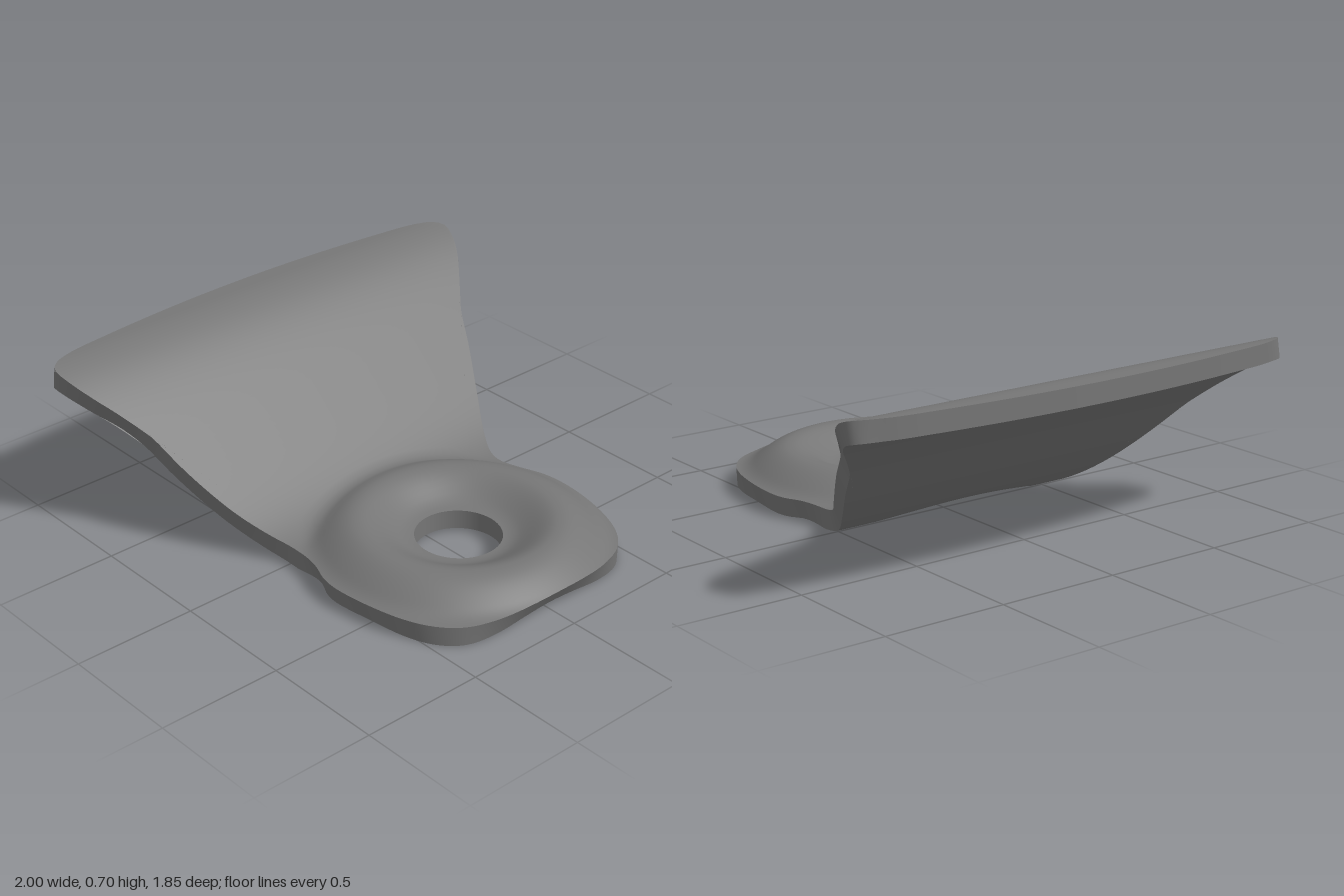
import * as THREE from 'three';

const THICKNESS = 0.08, HOLE_Z = 0.38, HOLE_R = 0.17;
const AROUND = 240, ACROSS = 44;
const step = THREE.MathUtils.smoothstep;

// Height of the upper face: S-shaped ramp blended with a raised ring around the hole
function height(x, z) {
  const ramp = 0.08 + 0.62 * step(-z, -0.075, 0.855);
  const r = Math.hypot(x, z - HOLE_Z);
  const ring = 0.09 + 0.085 * step(r, HOLE_R, 0.38) - 0.155 * step(r, 0.39, 0.7);
  const k = 0.03, h = Math.max(k - Math.abs(ramp - ring), 0) / k;
  return Math.max(ramp, ring) + h * h * k / 4;
}

// Point on the lower face: upper point pushed in along the surface normal
function below(p) {
  const e = 0.004;
  const n = new THREE.Vector3(
    (height(p.x - e, p.z) - height(p.x + e, p.z)) / (2 * e), 1,
    (height(p.x, p.z - e) - height(p.x, p.z + e)) / (2 * e)).normalize();
  return p.clone().addScaledVector(n, -THICKNESS);
}

// Closed bands of quads between successive loops of points
function loft(loops) {
  const n = loops[0].length, index = [];
  for (let j = 0; j < loops.length - 1; j++) {
    for (let i = 0; i < n; i++) {
      const a = j * n + i, b = j * n + (i + 1) % n;
      index.push(a, b, a + n, b, b + n, a + n);
    }
  }
  const geo = new THREE.BufferGeometry().setFromPoints(loops.flat());
  geo.setIndex(index);
  geo.computeVertexNormals();
  return geo;
}

// Plan outline [x, z], back centre to front centre, mirrored to the other side
function outline() {
  const half = [
    [0, -0.925], [0.35, -0.915], [0.7, -0.885], [0.88, -0.86], [0.97, -0.825],
    [1, -0.785], [0.983, -0.71], [0.93, -0.62], [0.85, -0.53], [0.8, -0.46],
    [0.75, -0.36], [0.66, -0.21], [0.57, -0.07], [0.53, 0.01], [0.522, 0.07],
    [0.54, 0.17], [0.573, 0.26], [0.583, 0.34], [0.57, 0.49], [0.53, 0.65],
    [0.475, 0.76], [0.4, 0.835], [0.28, 0.885], [0.14, 0.912], [0, 0.92]];
  const other = half.slice(1, -1).reverse().map(([x, z]) => [-x, z]);
  const pts = [...half, ...other].map(([x, z]) => new THREE.Vector3(x, 0, z));
  const curve = new THREE.CatmullRomCurve3(pts, true);
  curve.arcLengthDivisions = 1000;
  return curve.getSpacedPoints(AROUND).slice(0, AROUND);
}

export function createModel() {
  const group = new THREE.Group();
  group.name = 'bracket';
  const metal = new THREE.MeshStandardMaterial({ color: 0x767676 });
  metal.name = 'grey metal';

  // Loops running from the hole out to the plate edge
  const edge = outline(), upper = [];
  for (let j = 0; j <= ACROSS; j++) {
    upper.push(edge.map((p, i) => {
      const a = i / AROUND * Math.PI * 2;
      const q = new THREE.Vector3(HOLE_R * Math.sin(a), 0, HOLE_Z - HOLE_R * Math.cos(a));
      q.lerp(p, j / ACROSS);
      q.y = height(q.x, q.z);
      return q;
    }));
  }
  const lower = upper.map(loop => loop.map(below));

  const parts = {
    upperFace: upper,
    lowerFace: [...lower].reverse(),
    outerEdge: [upper[ACROSS], lower[ACROSS]],
    holeWall: [lower[0], upper[0]],
  };
  for (const [name, loops] of Object.entries(parts)) {
    const mesh = new THREE.Mesh(loft(loops), metal);
    mesh.name = name;
    group.add(mesh);
  }
  return group;
}
